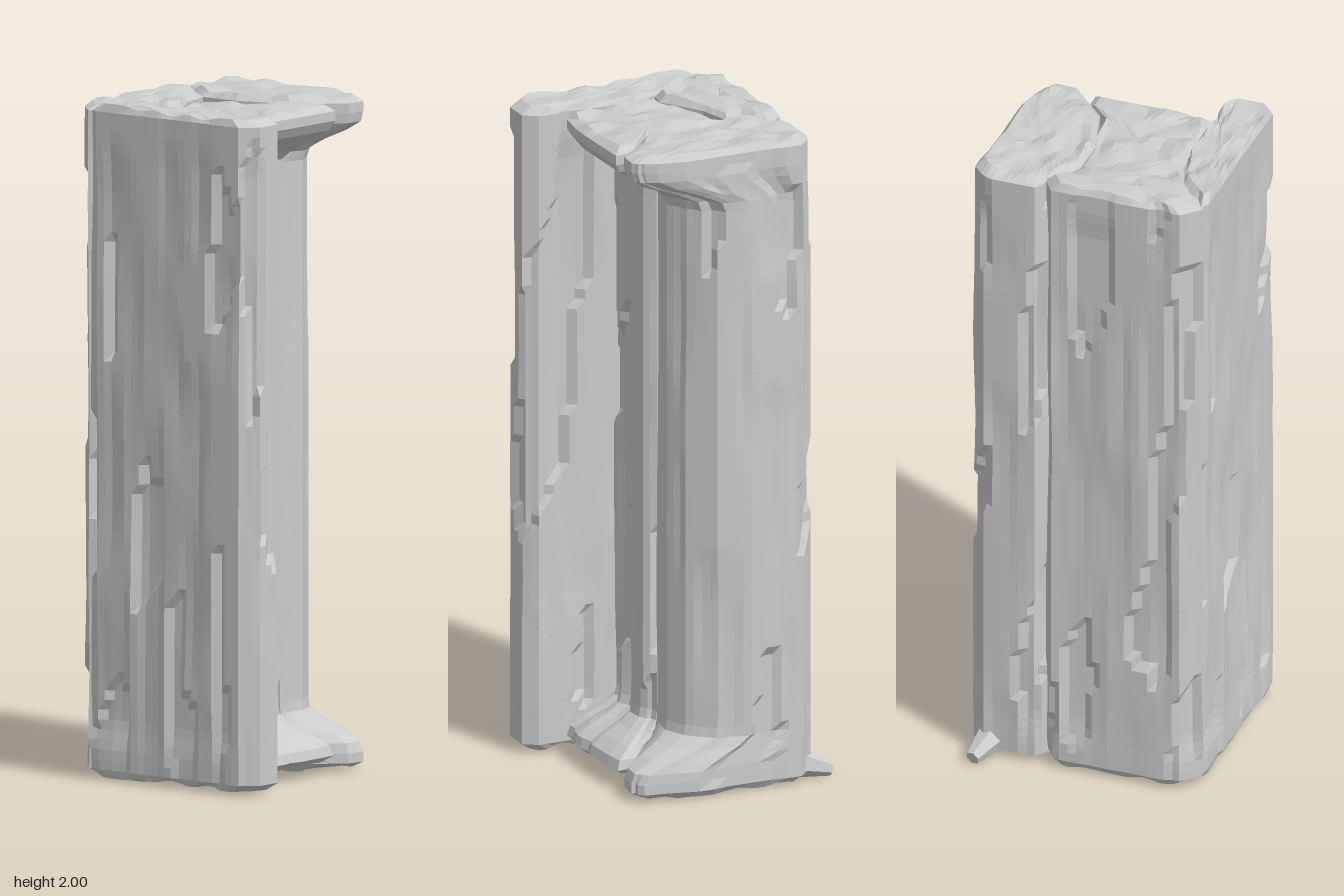
import * as THREE from 'three';

const material = new THREE.MeshStandardMaterial({ color: 0xcccccc, flatShading: true });
const HEIGHT = 2;

// Repeatable value noise on a 2D lattice, 0..1
const hash = (i, j, seed) => {
  const v = Math.sin(i * 127.1 + j * 311.7 + seed * 74.7) * 43758.5453;
  return v - Math.floor(v);
};
function noise(u, v, seed) {
  const i = Math.floor(u), j = Math.floor(v);
  const f = THREE.MathUtils.smoothstep(u - i, 0, 1), g = THREE.MathUtils.smoothstep(v - j, 0, 1);
  const lerp = THREE.MathUtils.lerp;
  return lerp(
    lerp(hash(i, j, seed), hash(i + 1, j, seed), f),
    lerp(hash(i, j + 1, seed), hash(i + 1, j + 1, seed), f), g);
}

// Splits the edges of the body outline, and the matching edges of the end outline
function columnsOf(body, end) {
  const columns = [];
  let run = 0;
  body.forEach((a, i) => {
    const k = (i + 1) % body.length, b = body[k];
    const length = Math.hypot(b[0] - a[0], b[1] - a[1]);
    const n = Math.max(1, Math.round(length / 0.025));
    for (let s = 0; s < n; s++) {
      const t = s / n;
      const mix = (p, q) => new THREE.Vector2(p[0], p[1]).lerp(new THREE.Vector2(q[0], q[1]), t);
      columns.push({ body: mix(a, b), end: mix(end[i], end[k]), run: run + length * t });
    }
    run += length;
  });
  // Inward normal of each column
  columns.forEach((c, i) => {
    const p = columns[(i + columns.length - 1) % columns.length].body;
    const q = columns[(i + 1) % columns.length].body;
    c.inward = new THREE.Vector2(p.y - q.y, q.x - p.x).normalize();
  });
  return columns;
}

// Upright weathered slab: outline lofted in y, flaring to the end outline at both ends
function slab(name, body, end, y0, y1, seed) {
  const columns = columnsOf(body, end), n = columns.length;
  const centre = new THREE.Vector2();
  columns.forEach((c) => centre.addScaledVector(c.end, 1 / n));

  // Rows of [height, inset]: bottom face, bevel, long side, bevel, top face
  const faceInsets = [0.8, 0.55, 0.3, 0.12];
  const rows = faceInsets.map((inset) => [y0, inset]);
  const steps = 66, bevel = 0.025;
  for (let i = 0; i <= steps; i++) rows.push([y0 + bevel + (y1 - y0 - 2 * bevel) * i / steps, 0]);
  faceInsets.reverse().forEach((inset) => rows.push([y1, inset]));

  const position = [], index = [];
  rows.forEach(([y, inset], r) => {
    const flare = 1 - THREE.MathUtils.smoothstep(Math.min(y, HEIGHT - y), 0.07, 0.19);
    for (const c of columns) {
      const p = c.body.clone().lerp(c.end, flare);
      // Long grain and slow waves, plus chipped ledges with hard ends
      const grain = 0.012 * noise(c.run * 24, y * 2.2, seed);
      const wave = 0.016 * noise(c.run * 6, y * 3.5, seed + 1);
      const chip = noise(c.run * 17, y * 2.2 + c.run * 3, seed + 2) > 0.68 ? 0.018 : 0;
      p.addScaledVector(c.inward, (Math.max(0, grain + wave - 0.012) + chip) * (1 - 0.6 * flare));
      p.lerp(centre, inset);
      const bump = inset > 0 ? 0.03 * Math.max(0, noise(p.x * 16, p.y * 16, seed + 4) - 0.3) : 0;
      position.push(p.x, y + (r < steps / 2 ? bump : -bump), p.y);
    }
  });
  for (let r = 0; r < rows.length - 1; r++) {
    for (let i = 0; i < n; i++) {
      const k = (i + 1) % n, a = r * n + i, b = r * n + k;
      index.push(a, a + n, b, b, a + n, b + n);
    }
  }
  // Close both ends
  const bottom = position.length / 3, last = (rows.length - 1) * n;
  position.push(centre.x, y0 + 0.01, centre.y, centre.x, y1 - 0.01, centre.y);
  for (let i = 0; i < n; i++) {
    const k = (i + 1) % n;
    index.push(bottom, i, k, bottom + 1, last + k, last + i);
  }
  const geometry = new THREE.BufferGeometry();
  geometry.setAttribute('position', new THREE.Float32BufferAttribute(position, 3));
  geometry.setIndex(index);
  const flat = geometry.toNonIndexed();
  flat.computeVertexNormals();
  const mesh = new THREE.Mesh(flat, material);
  mesh.name = name;
  return mesh;
}

export function createModel() {
  const model = new THREE.Group();
  model.name = 'weatheredPillar';

  // Outlines are [x, z] pairs
  const front = [[-0.24, 0.345], [-0.14, 0.25], [-0.05, 0.22], [0, 0.205], [0.33, 0.205],
    [0.372, 0.235], [0.372, 0.315], [0.325, 0.358], [-0.21, 0.358]];
  const side = [[-0.302, -0.1], [-0.25, -0.135], [-0.15, -0.06], [-0.12, 0.04], [-0.04, 0.17],
    [-0.05, 0.22], [-0.14, 0.26], [-0.2, 0.33], [-0.245, 0.355], [-0.302, 0.3]];
  const backBody = [[-0.302, -0.31], [-0.26, -0.358], [-0.09, -0.358], [0.01, -0.335], [0.08, -0.265],
    [0.11, -0.2], [0.1, -0.11], [-0.03, -0.05], [-0.16, -0.05], [-0.302, -0.15]];
  const backEnd = [[-0.302, -0.31], [-0.25, -0.358], [0.08, -0.358], [0.24, -0.322], [0.267, -0.29],
    [0.262, -0.23], [0.14, -0.11], [-0.03, -0.06], [-0.16, -0.06], [-0.302, -0.15]];
  const middleBody = [[-0.15, -0.06], [-0.02, -0.1], [0.07, -0.12], [0.1, -0.11], [0.13, -0.08],
    [0.13, 0], [0.13, 0.08], [0.11, 0.16], [0.07, 0.21], [-0.02, 0.21], [-0.09, 0.14], [-0.13, 0.03]];
  const middleEnd = [[-0.15, -0.06], [-0.02, -0.1], [0.13, -0.1], [0.2, -0.17], [0.26, -0.17],
    [0.265, 0], [0.265, 0.1], [0.25, 0.19], [0.19, 0.21], [-0.02, 0.21], [-0.09, 0.14], [-0.13, 0.03]];

  model.add(
    slab('frontSlab', front, front, 0.01, 2, 3),
    slab('sideSlab', side, side, 0.01, 2, 11),
    slab('backSlab', backBody, backEnd, 0.005, 2, 23),
    slab('middleSlab', middleBody, middleEnd, 0.035, 1.985, 37),
  );

  // Filler behind the joints
  const core = new THREE.Mesh(new THREE.BoxGeometry(0.2, 1.8, 0.46), material);
  core.name = 'core';
  core.position.set(-0.08, 1, 0.01);
  model.add(core);

  // Splinter at the foot of the back corner
  const path = new THREE.Vector3(-0.11, -0.03, -0.03);
  const splinter = new THREE.Mesh(new THREE.CylinderGeometry(0.022, 0.05, path.length(), 6), material);
  splinter.name = 'splinter';
  splinter.quaternion.setFromUnitVectors(new THREE.Vector3(0, 1, 0), path.clone().normalize());
  splinter.position.set(-0.31, 0.04, -0.305);
  model.add(splinter);

  return model;
}
